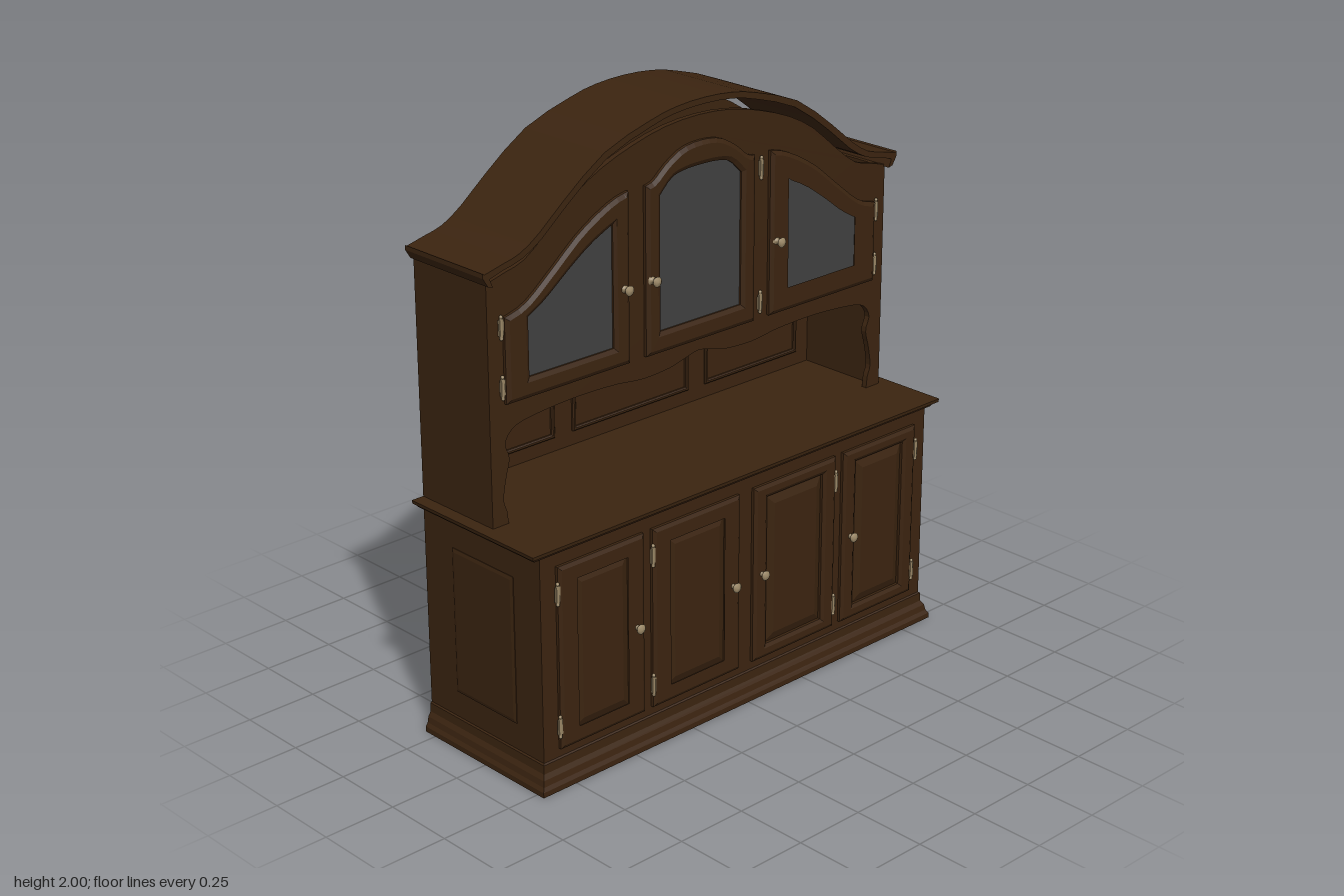
import * as THREE from 'three';

const wood = new THREE.MeshStandardMaterial({ color: 0x3b2410, side: THREE.DoubleSide });
wood.name = 'dark wood';
const glass = new THREE.MeshStandardMaterial({ color: 0x404040 });
glass.name = 'smoked glass';
const metal = new THREE.MeshStandardMaterial({ color: 0x9a8766 });
metal.name = 'aged brass';

const BACK = -0.297;
const HALF = 0.857;
const FRONT_LOW = 0.252;
const FRONT_UP = 0.04;

const toShape = (pts) => new THREE.Shape(pts.map(([x, y]) => new THREE.Vector2(x, y)));
const rect = (x0, x1, y0, y1) => [[x0, y0], [x1, y0], [x1, y1], [x0, y1]];
const flip = (pts, s) => pts.map(([x, y]) => [x * s, y]);
// full symmetric run from points given centre outwards, left to right
const mirrored = (half) => [...flip(half, -1).reverse(), ...half.slice(1)];

function smooth(pts, n) {
  const curve = new THREE.SplineCurve(pts.map(([x, y]) => new THREE.Vector2(x, y)));
  return curve.getPoints(n).map((p) => [p.x, p.y]);
}

function add(parent, name, geometry, material) {
  const mesh = new THREE.Mesh(geometry, material);
  mesh.name = name;
  parent.add(mesh);
  return mesh;
}

function box(parent, name, x0, x1, y0, y1, z0, z1, material = wood) {
  const mesh = add(parent, name, new THREE.BoxGeometry(x1 - x0, y1 - y0, z1 - z0), material);
  mesh.position.set((x0 + x1) / 2, (y0 + y1) / 2, (z0 + z1) / 2);
  return mesh;
}

// extruded board between z0 and z1, optional hole and chamfer [width, height]
function board(parent, name, outline, z0, z1, hole, bevel, material = wood) {
  const shape = toShape(outline);
  if (hole) shape.holes.push(toShape(hole));
  const [size, thick] = bevel || [0, 0];
  const geometry = new THREE.ExtrudeGeometry(shape, {
    depth: z1 - z0 - 2 * thick, bevelEnabled: !!bevel, bevelSegments: 1,
    bevelSize: size, bevelThickness: thick, bevelOffset: -size,
  });
  geometry.translate(0, 0, z0 + thick);
  return add(parent, name, geometry, material);
}

// mitred moulding round the left, front and right; profile points are [outset, y]
function moulding(parent, name, profile, hx, zf) {
  const ring = ([o, y]) => [
    [-hx - o, y, BACK], [-hx - o, y, zf + o], [hx + o, y, zf + o], [hx + o, y, BACK],
  ];
  const pos = [];
  for (let i = 0; i < profile.length - 1; i++) {
    const a = ring(profile[i]), b = ring(profile[i + 1]);
    for (let k = 0; k < 3; k++) {
      pos.push(...a[k], ...a[k + 1], ...b[k + 1], ...a[k], ...b[k + 1], ...b[k]);
    }
  }
  const geometry = new THREE.BufferGeometry();
  geometry.setAttribute('position', new THREE.Float32BufferAttribute(pos, 3));
  geometry.computeVertexNormals();
  return add(parent, name, geometry, wood);
}

const knobGeometry = new THREE.LatheGeometry(
  [[0.016, 0], [0.009, 0.004], [0.006, 0.014], [0.015, 0.02], [0.017, 0.026], [0.011, 0.031], [0, 0.033]]
    .map(([r, h]) => new THREE.Vector2(r, h)), 14).rotateX(Math.PI / 2);

function knob(parent, x, y, z) {
  add(parent, 'knob', knobGeometry, metal).position.set(x, y, z);
}

// leaf, pin and small finials
function hinge(parent, x, y, z) {
  const group = new THREE.Group();
  group.name = 'hinge';
  box(group, 'hingeLeaf', -0.009, 0.009, -0.025, 0.025, -0.004, 0.002, metal);
  add(group, 'hingePin', new THREE.CylinderGeometry(0.006, 0.006, 0.06, 8), metal);
  for (const s of [-1, 1]) {
    add(group, 'hingeFinial', new THREE.SphereGeometry(0.006, 8, 6), metal).position.y = s * 0.034;
  }
  group.position.set(x, y, z + 0.004);
  parent.add(group);
}

function lowerCabinet() {
  const g = new THREE.Group();
  g.name = 'lowerCabinet';
  for (const s of [-1, 1]) {
    const x0 = s < 0 ? -HALF : HALF - 0.02;
    box(g, 'lowerSide', x0, x0 + 0.02, 0.02, 0.79, BACK, FRONT_LOW);
    // raised panel on the side
    const panel = board(g, 'sidePanel', rect(-0.13, 0.16, 0.19, 0.69), 0, 0.008, null, [0.012, 0.003]);
    panel.rotation.y = s * Math.PI / 2;
    panel.position.x = s * (HALF - 0.002);
    if (s < 0) panel.position.z = -0.03;
  }
  box(g, 'lowerFront', -HALF + 0.02, HALF - 0.02, 0.02, 0.79, FRONT_LOW - 0.02, FRONT_LOW);
  box(g, 'lowerShelf', -0.837, 0.837, 0.42, 0.445, BACK + 0.01, 0.232);
  box(g, 'lowerFloor', -0.837, 0.837, 0.08, 0.1, BACK + 0.01, 0.232);
  box(g, 'backSkirt', -0.837, 0.837, 0.0, 0.1, BACK, BACK + 0.02);
  moulding(g, 'baseMoulding',
    [[-0.01, 0], [0.028, 0], [0.028, 0.018], [0.02, 0.03], [0.016, 0.05], [0.006, 0.065], [0.005, 0.095], [-0.001, 0.1]],
    HALF, FRONT_LOW);

  // worktop with a stepped edge
  box(g, 'worktop', -0.875, 0.875, 0.79, 0.818, BACK, 0.25);
  moulding(g, 'worktopEdge',
    [[-0.01, 0.79], [0.006, 0.79], [0.012, 0.8], [0.025, 0.806], [0.027, 0.818], [-0.01, 0.818]],
    0.875, 0.25);

  // doors: frame, sunk field and raised centre, then fittings
  for (const s of [-1, 1]) {
    for (const [a, b, knobX, hingeX] of [[0.032, 0.41, 0.065, 0.41], [0.447, 0.797, 0.482, 0.8]]) {
      const door = new THREE.Group();
      door.name = 'lowerDoor';
      const frame = flip(rect(a, b, 0.13, 0.748), s);
      const hole = flip(rect(a + 0.06, b - 0.06, 0.175, 0.703), s);
      board(door, 'doorFrame', frame, FRONT_LOW - 0.006, FRONT_LOW + 0.018, hole, [0.012, 0.007]);
      board(door, 'doorPanel', flip(rect(a + 0.062, b - 0.062, 0.177, 0.701), s),
        FRONT_LOW - 0.012, FRONT_LOW + 0.015, null, [0.03, 0.012]);
      knob(door, s * knobX, 0.44, FRONT_LOW + 0.012);
      for (const y of [0.66, 0.21]) hinge(door, s * hingeX, y, FRONT_LOW + 0.01);
      g.add(door);
    }
  }
  return g;
}

function hutch() {
  const g = new THREE.Group();
  g.name = 'hutch';
  const arch = smooth(mirrored([[0, 1.94], [0.14, 1.93], [0.27, 1.9], [0.4, 1.855], [0.51, 1.795],
    [0.62, 1.705], [0.71, 1.64], [0.78, 1.62], [HALF, 1.6]]), 32);
  // scalloped apron running down into the shaped stiles
  const apron = smooth(mirrored([[0, 1.168], [0.06, 1.155], [0.13, 1.14], [0.24, 1.135], [0.36, 1.148],
    [0.52, 1.152], [0.68, 1.142], [0.765, 1.125], [0.8, 1.08], [0.785, 1.03], [0.8, 0.97],
    [0.812, 0.9], [0.8, 0.86], [0.795, 0.818]]), 80);
  board(g, 'hutchFront', [...arch, [HALF, 0.818], ...apron.reverse(), [-HALF, 0.818]], FRONT_UP - 0.02, FRONT_UP);
  board(g, 'backPanel', [...arch, [HALF, 0.79], [-HALF, 0.79]], BACK, BACK + 0.015);
  for (const s of [-1, 1]) {
    const x0 = s < 0 ? -HALF : HALF - 0.02;
    box(g, 'hutchSide', x0, x0 + 0.02, 0.818, 1.6, BACK, FRONT_UP - 0.02);
  }
  box(g, 'hutchShelf', -0.837, 0.837, 1.18, 1.2, BACK + 0.01, FRONT_UP - 0.02);

  // panelled back of the niche
  for (const [a, b] of [[-0.775, -0.335], [-0.258, 0.258], [0.335, 0.775]]) {
    board(g, 'nicheFrame', rect(a, b, 0.868, 1.13), BACK + 0.012, BACK + 0.026,
      rect(a + 0.014, b - 0.014, 0.882, 1.116), [0.004, 0.004]);
  }

  // glazed doors
  const glazed = (outline, pane) => {
    const door = new THREE.Group();
    door.name = 'glazedDoor';
    board(door, 'glazedFrame', outline, FRONT_UP - 0.006, FRONT_UP + 0.02, pane, [0.014, 0.008]);
    board(door, 'glassPane', pane, FRONT_UP + 0.001, FRONT_UP + 0.006, null, null, glass);
    g.add(door);
    return door;
  };
  const centre = glazed(
    [[-0.235, 1.21], [0.235, 1.21], ...smooth(mirrored([[0, 1.862], [0.08, 1.852], [0.15, 1.815], [0.2, 1.775], [0.235, 1.765]]), 20).reverse()],
    [[-0.175, 1.28], [0.175, 1.28], ...smooth(mirrored([[0, 1.785], [0.07, 1.782], [0.125, 1.768], [0.175, 1.722]]), 16).reverse()]);
  knob(centre, -0.215, 1.46, FRONT_UP + 0.018);
  for (const y of [1.715, 1.265]) hinge(centre, 0.268, y, FRONT_UP + 0.004);

  const sideTop = smooth([[0.305, 1.765], [0.38, 1.745], [0.5, 1.68], [0.62, 1.585], [0.72, 1.51], [0.8, 1.485]], 14);
  const paneTop = smooth([[0.37, 1.675], [0.46, 1.632], [0.55, 1.572], [0.64, 1.505], [0.71, 1.465]], 10);
  for (const s of [-1, 1]) {
    const door = glazed(
      flip([...sideTop, [0.8, 1.21], [0.305, 1.21]], s),
      flip([...paneTop, [0.71, 1.275], [0.37, 1.275]], s));
    knob(door, s * 0.33, 1.46, FRONT_UP + 0.018);
    for (const y of [1.455, 1.265]) hinge(door, s * 0.81, y, FRONT_UP + 0.004);
  }
  return g;
}

// thin arched crown raised clear of the hutch, with flanges down to its corners
function crown() {
  const g = new THREE.Group();
  g.name = 'crown';
  const top = smooth(mirrored([[0, 2], [0.12, 1.993], [0.23, 1.97], [0.41, 1.91], [0.57, 1.8],
    [0.67, 1.72], [0.745, 1.675], [0.81, 1.658], [0.885, 1.64]]), 32);
  const under = smooth(mirrored([[0, 1.98], [0.12, 1.973], [0.225, 1.95], [0.4, 1.89], [0.557, 1.783],
    [0.66, 1.7], [0.74, 1.655], [0.81, 1.638], [0.872, 1.62]]), 32);
  board(g, 'crownArch', [...top, ...under.reverse()], BACK, 0.065);
  for (const s of [-1, 1]) {
    board(g, 'crownFlange', flip([[0.887, 1.645], [0.887, 1.63], [0.868, 1.6], [0.85, 1.595], [0.865, 1.63]], s), BACK, 0.065);
  }
  return g;
}

export function createModel() {
  const model = new THREE.Group();
  model.name = 'dresser';
  model.add(lowerCabinet(), hutch(), crown());
  return model;
}
